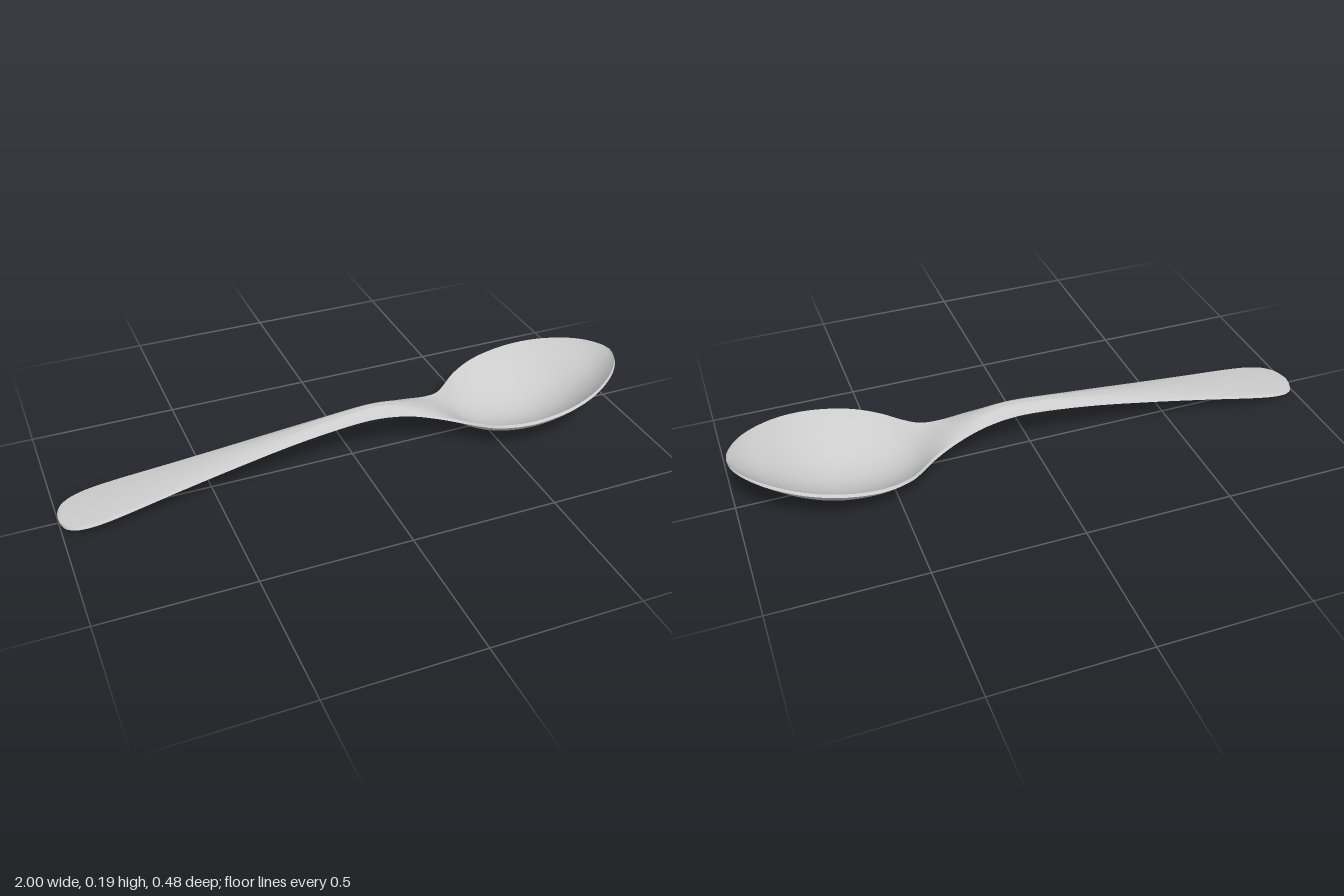
import * as THREE from 'three';
import { toCreasedNormals } from 'three/addons/utils/BufferGeometryUtils.js';

// Outline seen from above: [x, half width]
const OUTLINE = [
  [-1, 0], [-0.996, 0.032], [-0.982, 0.063], [-0.95, 0.086], [-0.9, 0.097], [-0.83, 0.097],
  [-0.6, 0.076], [-0.4, 0.06], [-0.2, 0.048], [0, 0.043], [0.1, 0.045], [0.2, 0.055],
  [0.3, 0.077], [0.36, 0.103], [0.41, 0.143], [0.46, 0.185], [0.52, 0.217], [0.58, 0.235],
  [0.65, 0.241], [0.72, 0.236], [0.8, 0.214], [0.87, 0.178], [0.93, 0.132], [0.97, 0.085],
  [0.993, 0.04], [1, 0],
];

// Heights along the length: [x, edge, top centre, underside centre]
const HEIGHTS = [
  [-1, 0.016, 0.022, 0.011], [-0.8, 0.047, 0.056, 0.042], [-0.6, 0.077, 0.087, 0.072],
  [-0.4, 0.106, 0.119, 0.101], [-0.2, 0.133, 0.15, 0.128], [0, 0.152, 0.175, 0.147],
  [0.1, 0.152, 0.178, 0.147], [0.2, 0.139, 0.157, 0.133], [0.3, 0.114, 0.12, 0.104],
  [0.36, 0.101, 0.086, 0.067], [0.42, 0.1, 0.049, 0.034], [0.5, 0.112, 0.023, 0.01],
  [0.6, 0.129, 0.012, 0], [0.7, 0.146, 0.022, 0.01], [0.8, 0.163, 0.058, 0.046],
  [0.9, 0.179, 0.115, 0.104], [0.95, 0.186, 0.15, 0.142], [1, 0.191, 0.194, 0.188],
];

const EDGE = 0.004;   // half thickness of the edge
const INSET = 0.007;  // how far the upper edge sits inside the outline
const ACROSS = 28;    // divisions across each surface

// Smooth interpolation of one column of the height table
function heightAt(x, col) {
  const T = HEIGHTS, last = T.length - 1;
  let i = 0;
  while (i < last - 1 && x > T[i + 1][0]) i++;
  const slope = (k) => {
    const a = T[Math.max(k - 1, 0)], b = T[Math.min(k + 1, last)];
    return (b[col] - a[col]) / (b[0] - a[0]);
  };
  const h = T[i + 1][0] - T[i][0];
  const t = THREE.MathUtils.clamp((x - T[i][0]) / h, 0, 1), t2 = t * t, t3 = t2 * t;
  return (2 * t3 - 3 * t2 + 1) * T[i][col] + (t3 - 2 * t2 + t) * h * slope(i)
    + (3 * t2 - 2 * t3) * T[i + 1][col] + (t3 - t2) * h * slope(i + 1);
}

// Closed cross-section: upper surface one way, underside back
function section(x, w) {
  const edge = heightAt(x, 1), top = heightAt(x, 2), bottom = heightAt(x, 3);
  const upperW = w - Math.min(INSET, w * 0.15);
  const ring = [];
  for (const side of [1, -1]) {
    const rim = edge + side * EDGE;
    const centre = side > 0 ? top : bottom;
    for (let j = 0; j <= ACROSS; j++) {
      const u = side * Math.sin((j / ACROSS - 0.5) * Math.PI);
      ring.push([x, rim + (centre - rim) * (1 - u * u), u * (side > 0 ? upperW : w)]);
    }
  }
  return ring;
}

function spoonGeometry() {
  const curve = new THREE.CatmullRomCurve3(OUTLINE.map(([x, w]) => new THREE.Vector3(x, w, 0)));
  const stations = curve.getPoints((OUTLINE.length - 1) * 6);
  const positions = [], index = [];
  const n = 2 * (ACROSS + 1);
  stations.forEach((p, i) => {
    section(THREE.MathUtils.clamp(p.x, -1, 1), Math.max(p.y, 0)).forEach((v) => positions.push(...v));
    if (i === 0) return;
    for (let j = 0; j < n; j++) {
      const k = (j + 1) % n, a = (i - 1) * n, b = i * n;
      index.push(a + j, a + k, b + j, a + k, b + k, b + j);
    }
  });
  const geometry = new THREE.BufferGeometry();
  geometry.setAttribute('position', new THREE.Float32BufferAttribute(positions, 3));
  geometry.setIndex(index);
  return toCreasedNormals(geometry, 0.7);
}

export function createModel() {
  const group = new THREE.Group();
  group.name = 'spoon';
  // Handle, neck and bowl are one continuous surface
  const body = new THREE.Mesh(spoonGeometry(), new THREE.MeshStandardMaterial({ color: 0xcccccc }));
  body.name = 'handleAndBowl';
  group.add(body);
  return group;
}
